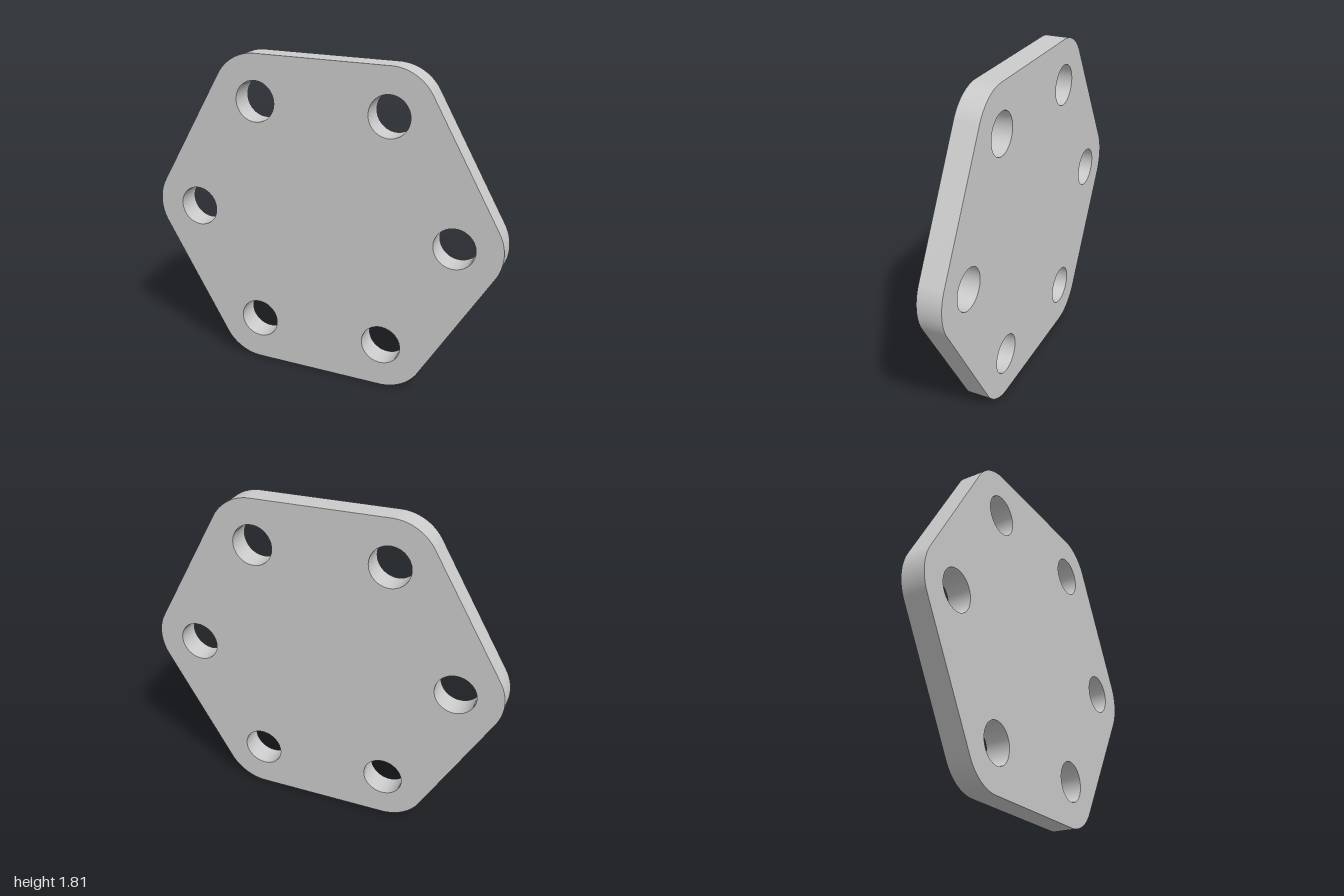
import * as THREE from 'three';
import { toCreasedNormals } from 'three/addons/utils/BufferGeometryUtils.js';

const HOLE_RING = 0.747;   // distance of holes and corner centres from the middle
const CORNER = 0.253;      // corner radius, concentric with the holes
const HOLE = 0.112;
const THICK = 0.132;
const TILT = -0.0085;      // slight turn of the whole plate

export function createModel() {
  const group = new THREE.Group();
  const outline = new THREE.Shape();

  // Hexagon with rounded corners, one hole at each corner
  for (let i = 0; i < 6; i++) {
    const a = TILT + (i * Math.PI) / 3;
    const x = HOLE_RING * Math.cos(a);
    const y = HOLE_RING * Math.sin(a);
    outline.absarc(x, y, CORNER, a - Math.PI / 6, a + Math.PI / 6, false);
    const hole = new THREE.Path();
    hole.absarc(x, y, HOLE, 0, Math.PI * 2, true);
    outline.holes.push(hole);
  }
  outline.closePath();

  const extruded = new THREE.ExtrudeGeometry(outline, {
    depth: THICK, bevelEnabled: false, curveSegments: 24,
  });
  const height = 2 * (HOLE_RING * Math.sin(Math.PI / 3 - TILT) + CORNER);
  extruded.translate(0, height / 2, -THICK / 2);

  const plate = new THREE.Mesh(
    toCreasedNormals(extruded, 0.6),
    new THREE.MeshStandardMaterial({ color: 0xcccccc })
  );
  plate.name = 'hexagonalPlate';
  group.add(plate);
  return group;
}
